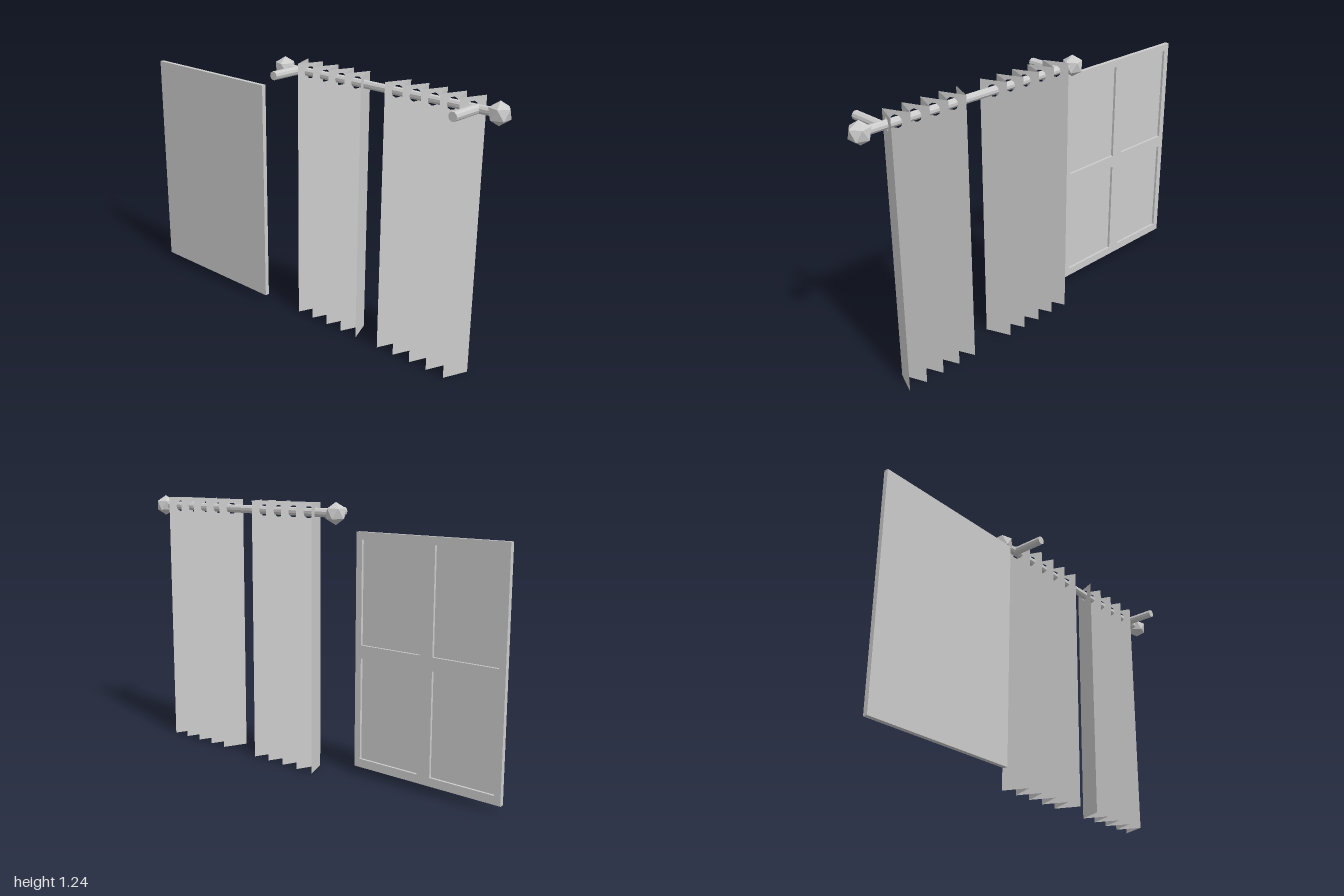
import * as THREE from 'three';

const MID = 0.38;                 // z of the middle of the curtain rod
const ROD = { x: 0.05, y: 1.186, r: 0.019 };

export function createModel() {
  const model = new THREE.Group();
  model.name = 'curtainsAndWindow';
  const grey = new THREE.MeshStandardMaterial({ color: 0xcccccc, flatShading: true });
  grey.name = 'plain grey';
  const cloth = new THREE.MeshStandardMaterial({ color: 0xcccccc, side: THREE.DoubleSide });
  cloth.name = 'cloth grey';

  const add = (parent, name, geometry, material = grey) => {
    const mesh = new THREE.Mesh(geometry, material);
    mesh.name = name;
    parent.add(mesh);
    return mesh;
  };

  // Rod
  const rod = add(model, 'rod', new THREE.CylinderGeometry(ROD.r, ROD.r, 1.14, 10).rotateX(Math.PI / 2));
  rod.position.set(ROD.x, ROD.y, MID);

  // Faceted finials and wall brackets at both ends
  for (const side of [-1, 1]) {
    const finial = add(model, 'finial', new THREE.IcosahedronGeometry(0.05, 0)
      .rotateZ(Math.atan(2 / (1 + Math.sqrt(5)))).rotateY(Math.PI / 2));
    finial.position.set(ROD.x, ROD.y, MID + 0.003 + side * 0.571);
    const bracket = add(model, 'bracket', new THREE.CylinderGeometry(0.02, 0.02, 0.163, 10).rotateZ(Math.PI / 2));
    bracket.position.set(-0.0315, ROD.y, MID - 0.002 + side * 0.477);
  }

  // Pleated curtains: flat strips folded in a zigzag, each pierced for the rod
  const xBack = -0.005, xFront = 0.109, height = 1.23, folds = 9, step = 0.0459;
  const width = Math.hypot(xFront - xBack, step);
  for (const side of [-1, 1]) {
    const curtain = new THREE.Group();
    curtain.name = side > 0 ? 'frontCurtain' : 'rearCurtain';
    for (let i = 0; i < folds; i++) {
      const outer = i % 2 === 0;
      const x0 = outer ? xFront : xBack, x1 = outer ? xBack : xFront;
      const z0 = MID - 0.002 + side * (0.4775 - i * step);
      const strip = new THREE.Shape();
      strip.moveTo(0, 0).lineTo(width, 0).lineTo(width, height).lineTo(0, height).closePath();
      const u = width * (ROD.x - x0) / (x1 - x0);
      strip.holes.push(new THREE.Path().absarc(u, ROD.y, 0.027, 0, Math.PI * 2, true));
      const along = new THREE.Vector3(x1 - x0, 0, -side * step).normalize();
      const up = new THREE.Vector3(0, 1, 0);
      const matrix = new THREE.Matrix4()
        .makeBasis(along, up, new THREE.Vector3().crossVectors(along, up))
        .setPosition(x0, 0, z0);
      add(curtain, 'pleat', new THREE.ShapeGeometry(strip, 5).applyMatrix4(matrix), cloth);
    }
    model.add(curtain);
  }

  // Window: frame with four openings over a flat back panel
  const win = new THREE.Group();
  win.name = 'window';
  const zNear = 0.243, zFar = 1, y0 = 0.037, y1 = 1.107;
  const rect = (path, a, b, c, d) => path.moveTo(a, b).lineTo(c, b).lineTo(c, d).lineTo(a, d).closePath();
  const frame = rect(new THREE.Shape(), zNear, y0, zFar, y1);
  for (const [a, c] of [[0.274, 0.589], [0.654, 0.969]])
    for (const [b, d] of [[0.076, 0.544], [0.604, 1.073]])
      frame.holes.push(rect(new THREE.Path(), a, b, c, d));
  const frameGeometry = new THREE.ExtrudeGeometry(frame, { depth: 0.012, bevelEnabled: false }).rotateY(Math.PI / 2);
  add(win, 'windowFrame', frameGeometry).position.x = -0.038;
  const panel = add(win, 'windowPanel', new THREE.BoxGeometry(0.009, y1 - y0, zFar - zNear));
  panel.position.set(-0.0425, (y0 + y1) / 2, -(zNear + zFar) / 2);
  model.add(win);

  return model;
}
